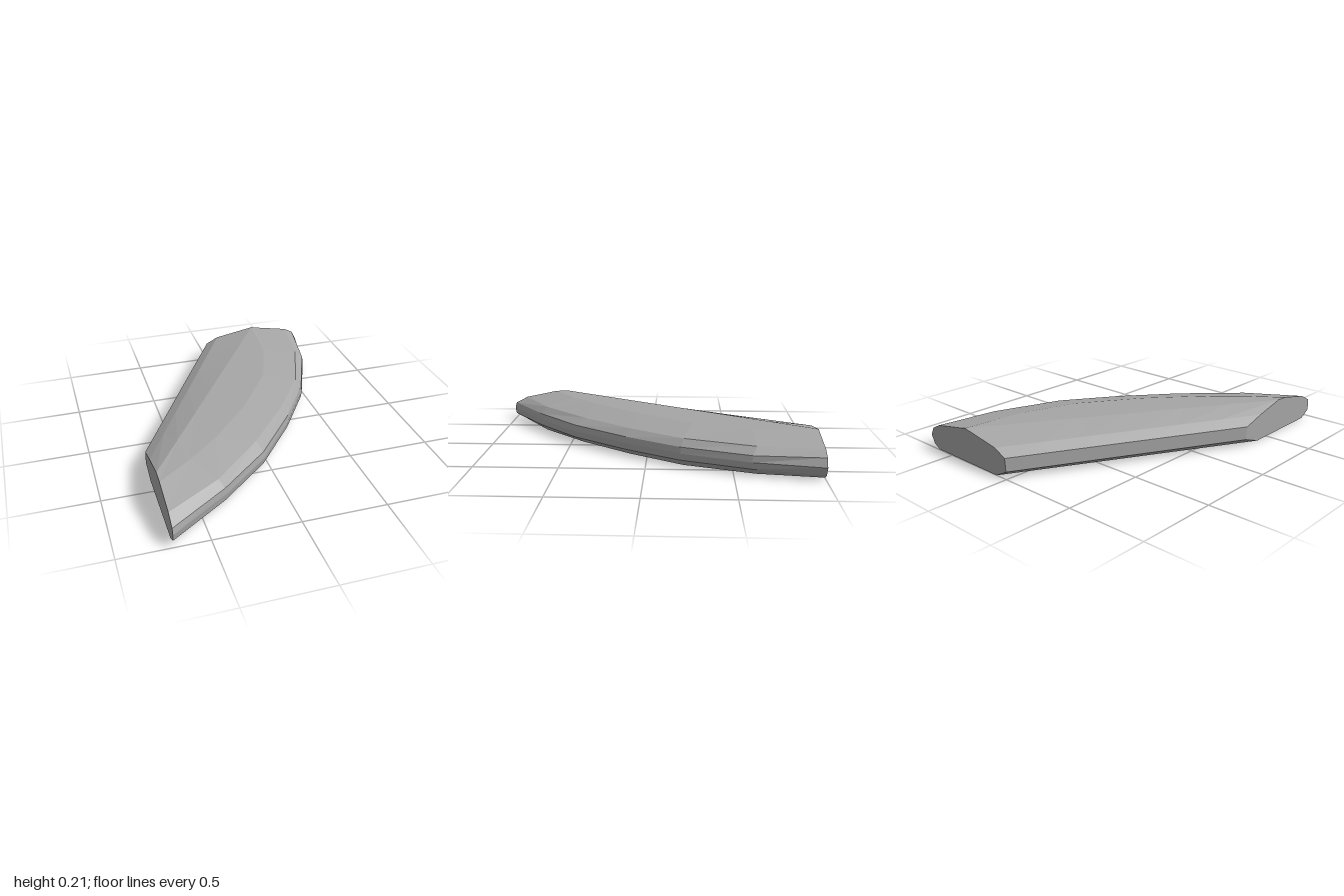
import * as THREE from 'three';

const STATIONS = 7;

// A straight lengthwise edge, cut by the back plane and the right end plane
const straight = (y, x0, z1) => Array.from({ length: STATIONS }, (_, i) => {
  const t = i / (STATIONS - 1);
  return [x0 + (-0.7 - x0) * t, y, -1 + (z1 + 1) * t];
});

// A curved lengthwise edge at one height
const curved = (y, points) => points.map(([x, z]) => [x, y, z]);

export function createModel() {
  const group = new THREE.Group();
  const grey = new THREE.MeshStandardMaterial({ color: 0xa6a6a6, flatShading: true });
  grey.name = 'plain grey';

  // Plan curves of the bowed side
  const rim = [[0.695, -1], [0.61, -0.6], [0.45, -0.2], [0.23, 0.14], [-0.04, 0.48], [-0.35, 0.75], [-0.7, 1]];
  const shoulder = [[0.61, -1], [0.56, -0.63], [0.41, -0.22], [0.19, 0.1], [-0.07, 0.41], [-0.38, 0.71], [-0.7, 0.91]];
  const ridge = [[0.37, -1], [0.32, -0.62], [0.2, -0.27], [-0.04, 0.08], [-0.3, 0.37], [-0.5, 0.55], [-0.7, 0.7]];
  const inset = (f) => rim.map(([x, z], i) => [x + (shoulder[i][0] - x) * f, z + (shoulder[i][1] - z) * f]);

  // Lengthwise edges in order around the cross-section
  const rows = [
    straight(0, 0.085, 0.4),
    straight(0.045, 0, 0.27),
    straight(0.125, 0.005, 0.28),
    straight(0.165, 0.085, 0.42),
    straight(0.21, 0.35, 0.62),
    curved(0.205, ridge),
    curved(0.16, shoulder),
    curved(0.118, inset(0.12)),
    curved(0.08, rim),
    curved(0.04, inset(0.08)),
    curved(0.003, inset(0.85)),
  ];
  // Round the nose at the back end
  rows[7][0] = [0.67, 0.13, -1];
  rows[9][0] = [0.67, 0.03, -1];

  const n = rows.length;
  const positions = [];
  for (let i = 0; i < STATIONS; i++) for (const row of rows) positions.push(...row[i]);

  // Skin between neighbouring cross-sections
  const index = [];
  for (let i = 0; i < STATIONS - 1; i++) {
    for (let j = 0; j < n; j++) {
      const k = (j + 1) % n;
      const a = i * n + j, b = i * n + k, c = b + n, d = a + n;
      index.push(a, d, c, a, c, b);
    }
  }
  // Flat cut ends
  const last = (STATIONS - 1) * n;
  for (let j = 1; j < n - 1; j++) {
    index.push(0, j, j + 1);
    index.push(last, last + j + 1, last + j);
  }

  const indexed = new THREE.BufferGeometry();
  indexed.setAttribute('position', new THREE.Float32BufferAttribute(positions, 3));
  indexed.setIndex(index);
  const geometry = indexed.toNonIndexed();
  geometry.computeVertexNormals();

  const slab = new THREE.Mesh(geometry, grey);
  slab.name = 'curvedSlab';
  group.add(slab);
  return group;
}
